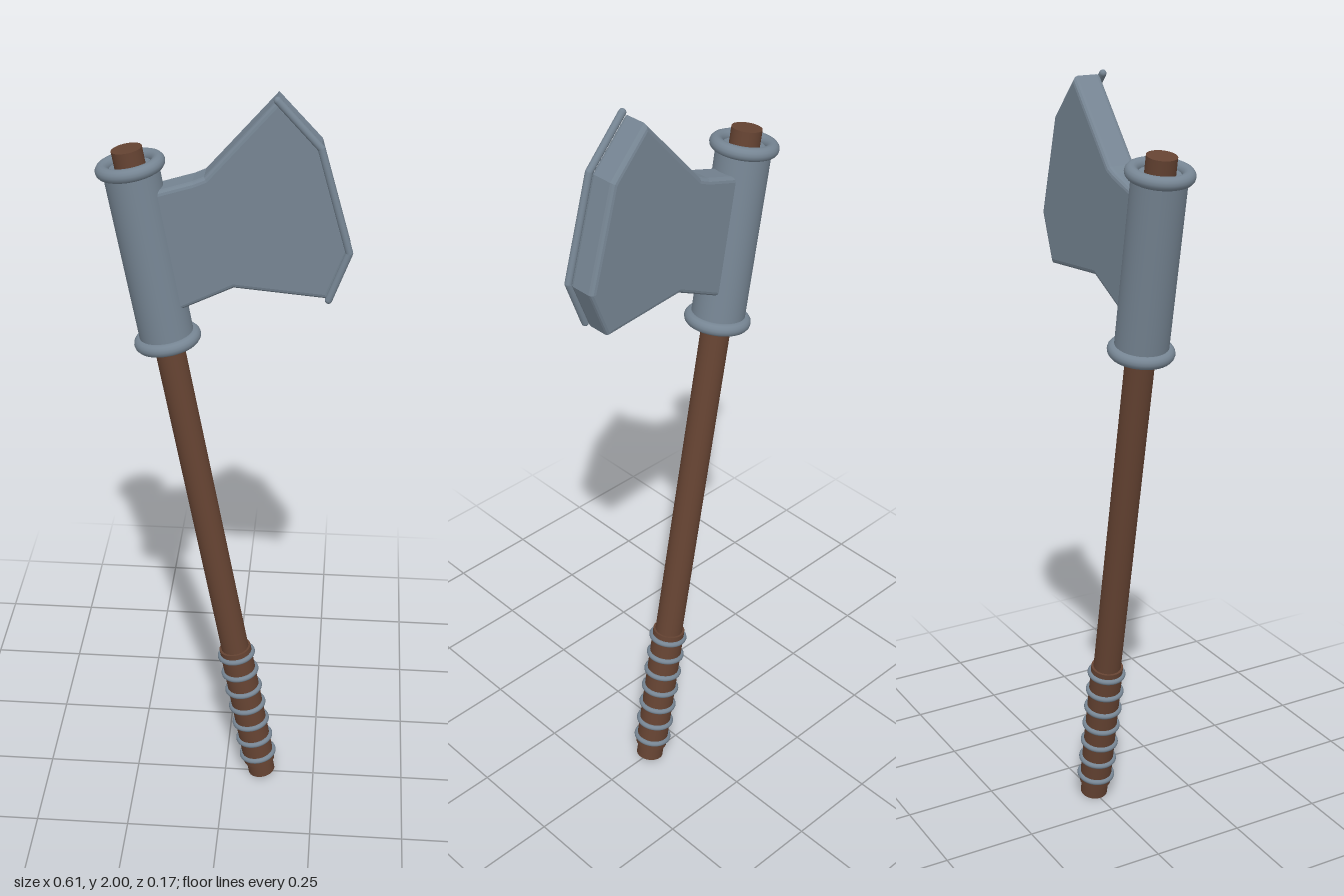
import * as THREE from 'three';

const TILT = 0.179;

export function createModel() {
  const axe = new THREE.Group();
  axe.name = 'axe';
  const wood = new THREE.MeshStandardMaterial({ color: 0x654332 });
  wood.name = 'brown wood';
  const steel = new THREE.MeshStandardMaterial({ color: 0x768593 });
  steel.name = 'grey steel';

  const add = (parent, name, geometry, material) => {
    const mesh = new THREE.Mesh(geometry, material);
    mesh.name = name;
    parent.add(mesh);
    return mesh;
  };

  // Everything on the handle axis lives in one tilted group, measured from the butt up
  const shaft = new THREE.Group();
  shaft.name = 'shaft';
  shaft.position.set(0.103, 0.008, 0);
  shaft.rotation.z = TILT;
  axe.add(shaft);

  const rod = (name, radius, from, to, material) => {
    const g = new THREE.CylinderGeometry(radius, radius, to - from, 40);
    add(shaft, name, g, material).position.y = (from + to) / 2;
  };
  const ring = (name, radius, tube, at) => {
    const g = new THREE.TorusGeometry(radius, tube, 14, 48).rotateX(Math.PI / 2);
    add(shaft, name, g, steel).position.y = at;
  };

  rod('handle', 0.037, 0, 1.875, wood);
  rod('grip', 0.043, 0.04, 0.435, wood);
  for (let i = 0; i < 7; i++) ring('gripRing', 0.044, 0.0075, 0.065 + i * 0.058);

  // Socket with a rounded collar at each end
  rod('socket', 0.067, 1.382, 1.833, steel);
  ring('lowerCollar', 0.067, 0.0165, 1.382);
  ring('upperCollar', 0.067, 0.0165, 1.833);

  // Blade: bevelled plate, its root buried in the socket
  const outline = [
    [-0.2, 1.75], [-0.075, 1.788], [-0.048, 1.8], [0.12, 1.99],
    [0.222, 1.882], [0.295, 1.628], [0.247, 1.503], [0.022, 1.523], [-0.15, 1.44],
  ].map(([x, y]) => new THREE.Vector2(x, y));
  const bevel = 0.012;
  const blade = new THREE.ExtrudeGeometry(new THREE.Shape(outline), {
    depth: 0.076 - 2 * bevel,
    bevelSize: bevel, bevelThickness: bevel, bevelOffset: -bevel, bevelSegments: 3,
  });
  add(axe, 'blade', blade, steel).position.z = -0.039 + bevel;

  // Thin bead along the cutting edge, on the front face
  const edge = [[0.12, 1.991], [0.221, 1.882], [0.2935, 1.628], [0.2485, 1.506]]
    .map(([x, y]) => new THREE.Vector3(x, y, 0.043));
  const up = new THREE.Vector3(0, 1, 0);
  const bead = new THREE.Group();
  bead.name = 'cuttingEdge';
  axe.add(bead);
  edge.forEach((p, i) => {
    add(bead, 'edgeJoint', new THREE.SphereGeometry(0.009, 16, 12), steel).position.copy(p);
    if (i === 0) return;
    const run = p.clone().sub(edge[i - 1]);
    const bar = add(bead, 'edgeBar', new THREE.CylinderGeometry(0.009, 0.009, run.length(), 16), steel);
    bar.position.copy(p).add(edge[i - 1]).multiplyScalar(0.5);
    bar.quaternion.setFromUnitVectors(up, run.normalize());
  });

  return axe;
}
